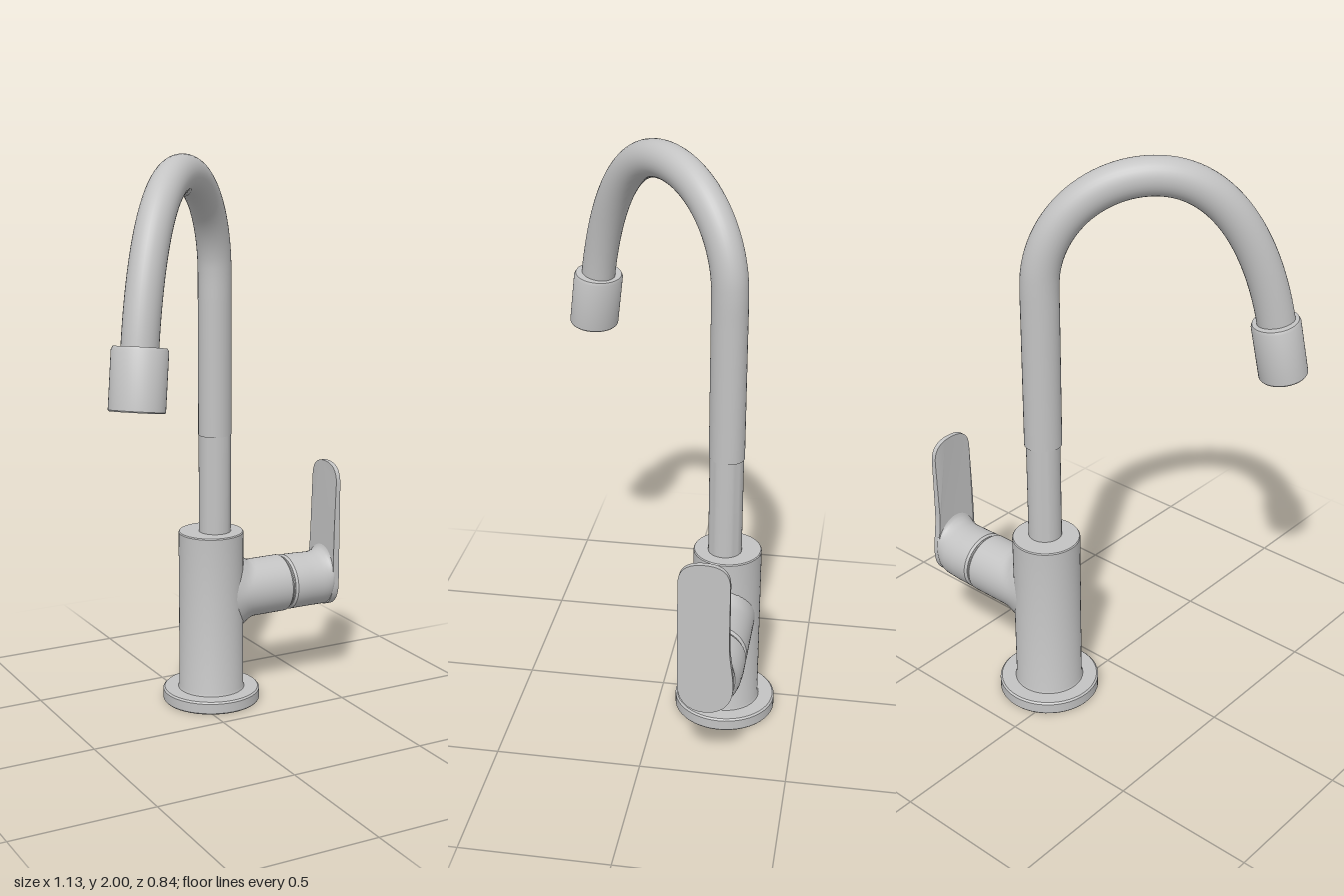
import * as THREE from 'three';
import { toCreasedNormals } from 'three/addons/utils/BufferGeometryUtils.js';

const metal = new THREE.MeshStandardMaterial({ color: 0xc3c3c3 });
metal.name = 'brushed metal';
const dark = new THREE.MeshStandardMaterial({ color: 0x2a2a2a });
dark.name = 'dark cavity';

function part(group, name, geometry, crease = 0.6, material = metal) {
  const mesh = new THREE.Mesh(crease ? toCreasedNormals(geometry, crease) : geometry, material);
  mesh.name = name;
  group.add(mesh);
  return mesh;
}

const lathe = (pts) => new THREE.LatheGeometry(pts.map(([r, y]) => new THREE.Vector2(r, y)), 48);

// Move every vertex of a geometry by a rule
function reshape(geometry, rule) {
  const p = geometry.attributes.position, v = new THREE.Vector3();
  for (let i = 0; i < p.count; i++) {
    rule(v.fromBufferAttribute(p, i));
    p.setXYZ(i, v.x, v.y, v.z);
  }
  return geometry;
}

// Capped elliptical loft along x; each section is [x, centreY, centreZ, radiusY, radiusZ]
function loftX(sections, sides = 48) {
  const first = sections[0], last = sections[sections.length - 1];
  const rings = [[...first.slice(0, 3), 0, 0], ...sections, [...last.slice(0, 3), 0, 0]];
  const pos = [], idx = [];
  rings.forEach(([x, cy, cz, ry, rz], i) => {
    for (let j = 0; j < sides; j++) {
      const t = (j / sides) * Math.PI * 2;
      pos.push(x, cy + ry * Math.cos(t), cz + rz * Math.sin(t));
      if (i === 0) continue;
      const a = (i - 1) * sides + j, b = (i - 1) * sides + (j + 1) % sides;
      const c = a + sides, d = b + sides;
      // the end caps need only the triangles touching their rims
      if (i > 1) idx.push(a, b, c);
      if (i < rings.length - 1) idx.push(b, d, c);
    }
  });
  const g = new THREE.BufferGeometry();
  g.setAttribute('position', new THREE.Float32BufferAttribute(pos, 3));
  g.setIndex(idx);
  return g;
}

export function createModel() {
  const model = new THREE.Group();
  model.name = 'faucet';
  const cx = 0.076, cz = -0.238, bodyRadius = 0.118;

  // Body with base flange, and the dark cavity underneath
  part(model, 'body', lathe([
    [0.102, 0], [0.175, 0], [0.178, 0.004], [0.178, 0.04], [0.172, 0.046], [0.122, 0.046],
    [0.119, 0.055], [bodyRadius, 0.06], [bodyRadius, 0.638], [0.115, 0.642], [0, 0.642],
  ])).position.set(cx, 0, cz);
  part(model, 'baseCavity', lathe([[0, 0.3], [0.102, 0.3], [0.102, 0]]), 0.6, dark).position.set(cx, 0, cz);

  // Spout: lower stem, then a swan neck swung 45 degrees towards the front right
  const spout = new THREE.Group();
  spout.name = 'spout';
  spout.position.set(0.088, 0, -0.23);
  spout.rotation.y = -Math.PI * 0.75; // local +x becomes (-x, +z)
  model.add(spout);
  part(spout, 'lowerStem', new THREE.CylinderGeometry(0.058, 0.058, 0.4, 40)).position.y = 0.82;

  const path = [];
  for (let i = 0; i <= 6; i++) path.push(new THREE.Vector3(0, 1 + i * 0.096, 0));
  for (let i = 1; i <= 10; i++) {
    const a = (i / 10) * Math.PI / 2;
    path.push(new THREE.Vector3(0.358 * (1 - Math.cos(a)), 1.577 + 0.358 * Math.sin(a), 0));
  }
  const fall = new THREE.CubicBezierCurve3(
    new THREE.Vector3(0.358, 1.935, 0), new THREE.Vector3(0.591, 1.935, 0),
    new THREE.Vector3(0.719, 1.69, 0), new THREE.Vector3(0.771, 1.41, 0));
  path.push(...fall.getPoints(12).slice(1));
  const neck = new THREE.TubeGeometry(new THREE.CatmullRomCurve3(path), 90, 0.064, 32);
  part(spout, 'swanNeck', neck.scale(1, 1, 0.92), 0);
  const rim = part(spout, 'neckRim', new THREE.RingGeometry(0.04, 0.064, 32).scale(1, 0.92, 1));
  rim.rotation.x = Math.PI / 2;
  rim.position.y = 1;

  // Nozzle with a recessed outlet
  const nozzle = part(spout, 'nozzle', lathe([
    [0, 0.03], [0.07, 0.03], [0.07, 0.003], [0.073, 0], [0.084, 0], [0.087, 0.004],
    [0.087, 0.19], [0.082, 0.2], [0.05, 0.2],
  ]).scale(0.95, 1, 1.04));
  nozzle.position.set(0.802, 1.232, 0);
  nozzle.rotation.z = THREE.MathUtils.degToRad(10.5);

  // Side neck, its fillet following the round body
  const neckSections = [];
  for (let i = 0; i <= 30; i++) neckSections.push([0.115 + i * 0.0083, 0.402, cz, 0.106, 0.106]);
  neckSections.push([0.373, 0.402, cz, 0.098, 0.099]);
  part(model, 'sideNeck', reshape(loftX(neckSections), (v) => {
    const dz = v.z - cz;
    const gap = v.x - cx - Math.sqrt(bodyRadius ** 2 - dz * dz);
    const flare = THREE.MathUtils.clamp(1 - gap / 0.05, 0, 1);
    v.y += 0.28 * flare * flare * (v.y - 0.402);
  }));
  part(model, 'groove', loftX([[0.36, 0.402, cz, 0.095, 0.096], [0.395, 0.402, cz, 0.095, 0.096]]));

  // Handle cap, narrowing on the back side and sweeping up into the lever
  part(model, 'handleCap', loftX([
    [0.38, 0.402, cz, 0.097, 0.099], [0.388, 0.402, cz, 0.103, 0.106], [0.45, 0.401, cz, 0.102, 0.106],
    [0.5, 0.4, -0.236, 0.101, 0.104], [0.52, 0.402, -0.234, 0.103, 0.102],
    [0.535, 0.406, -0.232, 0.107, 0.099], [0.542, 0.412, -0.231, 0.113, 0.097], [0.546, 0.42, -0.231, 0.121, 0.095],
  ]));

  // Lever blade, drawn in the side plane with u = -z and thinning towards its tip
  const blade = new THREE.Shape();
  blade.moveTo(0.138, 0.4);
  blade.bezierCurveTo(0.138, 0.335, 0.175, 0.298, 0.229, 0.298);
  blade.bezierCurveTo(0.283, 0.298, 0.322, 0.335, 0.322, 0.4);
  blade.bezierCurveTo(0.322, 0.46, 0.307, 0.5, 0.307, 0.58);
  blade.lineTo(0.307, 0.78);
  blade.bezierCurveTo(0.307, 0.835, 0.275, 0.855, 0.2225, 0.855);
  blade.bezierCurveTo(0.17, 0.855, 0.138, 0.835, 0.138, 0.78);
  blade.lineTo(0.138, 0.58);
  blade.closePath();
  const bladeGeo = new THREE.ExtrudeGeometry(blade, { depth: 0.025, bevelEnabled: false, curveSegments: 14 });
  part(model, 'leverBlade', reshape(bladeGeo.rotateY(Math.PI / 2), (v) => {
    if (v.x < 0.01) v.x += 0.008 * THREE.MathUtils.clamp((v.y - 0.55) / 0.25, 0, 1);
  })).position.x = 0.54;

  return model;
}
